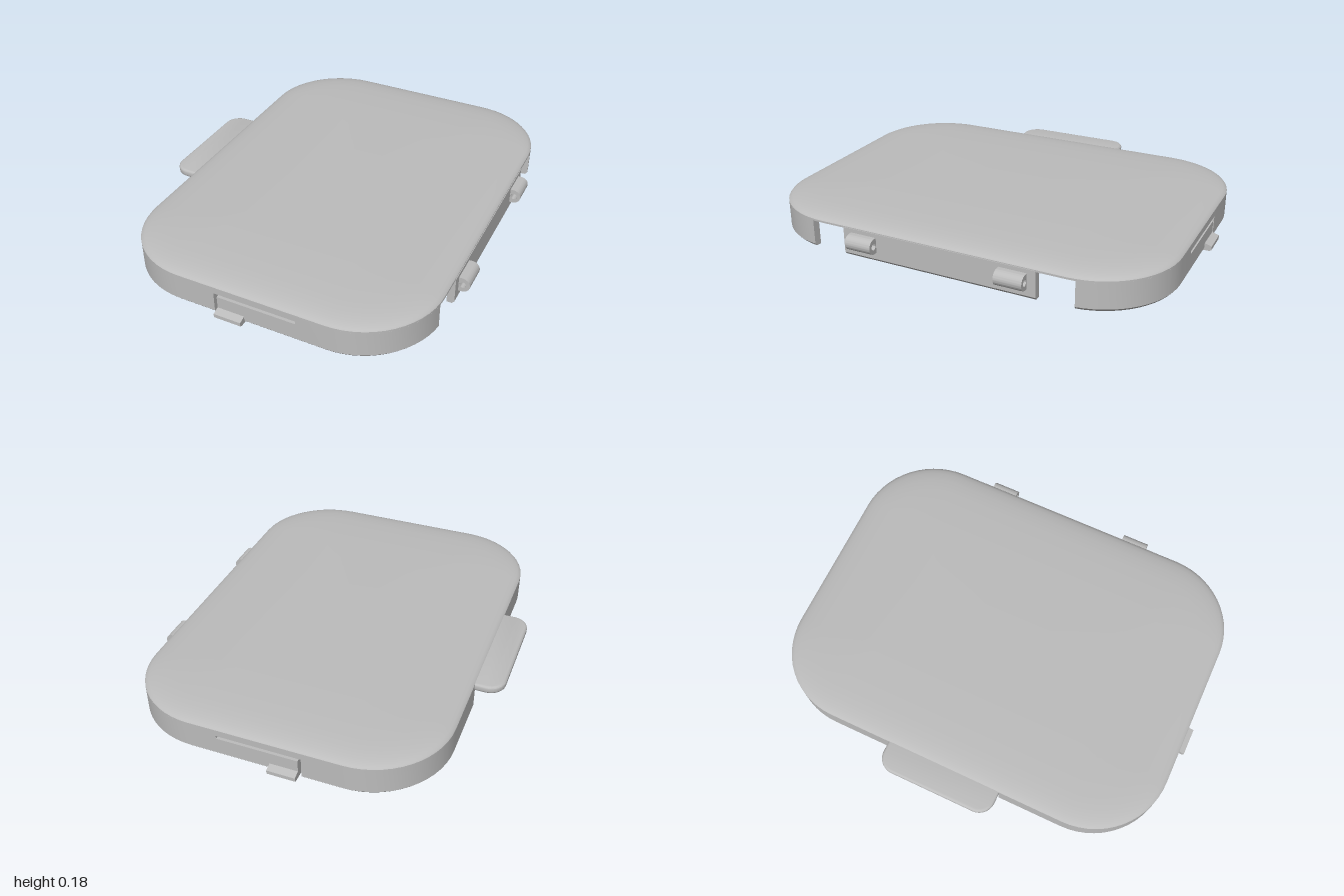
import * as THREE from 'three';
import { toCreasedNormals } from 'three/addons/utils/BufferGeometryUtils.js';

const CX = 0.036, HX = 0.72, HZ = 0.967, R = 0.37;   // body centre, half sizes, corner radius
const WALL = 0.035, RIM = 0.13;                      // wall thickness, wall top

function buildGeometry(verts, faces) {
  const g = new THREE.BufferGeometry();
  g.setAttribute('position', new THREE.Float32BufferAttribute(verts.flat(), 3));
  g.setIndex(faces.flat());
  return toCreasedNormals(g, 0.6);
}

// Points [x, z, nx, nz] round one front corner; side 1 = right edge, -1 = left edge
function cornerArc(side, a0, a1, steps = 14) {
  const pts = [];
  for (let i = 0; i <= steps; i++) {
    const a = a0 + (a1 - a0) * i / steps, c = Math.cos(a), s = Math.sin(a);
    pts.push([CX + side * (HX - R) + R * c, HZ - R + R * s, c, s]);
  }
  return pts;
}
const mirrorPath = (path) => path.map(([x, z, nx, nz]) => [x, -z, nx, -nz]).reverse();

// Sweep a wall section along a path; walls standing on the ground get a small chamfer
function wallGeometry(path, y0, y1) {
  const foot = y0 === 0 ? [[-0.01, 0], [0, 0.012]] : [[0, y0]];
  const section = [...foot, [0, y1], [-WALL, y1], [-WALL, y0]];
  const n = section.length, last = (path.length - 1) * n, verts = [], faces = [];
  for (const [x, z, nx, nz] of path)
    for (const [u, y] of section) verts.push([x + nx * u, y, z + nz * u]);
  for (let j = 0; j < path.length - 1; j++)
    for (let i = 0; i < n; i++) {
      const a = j * n + i, b = j * n + (i + 1) % n;
      faces.push([a, b, b + n], [a, b + n, a + n]);
    }
  for (let i = 1; i < n - 1; i++)
    faces.push([0, i + 1, i], [last, last + i, last + i + 1]);
  return buildGeometry(verts, faces);
}

// Domed lid: rounded rectangles stacked by [inset, height]
function lidGeometry() {
  const rings = [[0, RIM], [0, 0.139], [0.005, 0.145], [0.018, 0.151], [0.04, 0.157],
    [0.08, 0.164], [0.14, 0.169], [0.22, 0.173], [0.34, 0.177], [0.5, 0.179]];
  const verts = [], faces = [], steps = 14, n = 4 * (steps + 1);
  for (const [d, y] of rings) {
    const r = Math.max(R - d, 0.05);
    for (let q = 0; q < 4; q++)
      for (let i = 0; i <= steps; i++) {
        const a = (q + i / steps) * Math.PI / 2;
        const sx = q === 0 || q === 3 ? 1 : -1, sz = q < 2 ? 1 : -1;
        verts.push([CX + sx * (HX - d - r) + r * Math.cos(a), y, sz * (HZ - d - r) + r * Math.sin(a)]);
      }
  }
  for (let j = 0; j < rings.length - 1; j++)
    for (let i = 0; i < n; i++) {
      const a = j * n + i, b = j * n + (i + 1) % n;
      faces.push([a, a + n, b], [b, a + n, b + n]);
    }
  const bottom = verts.length, top = bottom + 1, o = (rings.length - 1) * n;
  verts.push([CX, RIM, 0], [CX, 0.18, 0]);
  for (let i = 0; i < n; i++) {
    const k = (i + 1) % n;
    faces.push([bottom, i, k], [top, o + k, o + i]);
  }
  return buildGeometry(verts, faces);
}

export function createModel() {
  const group = new THREE.Group();
  const grey = new THREE.MeshStandardMaterial({ color: 0xbcbcbc });
  grey.name = 'grey plastic';
  const add = (name, geometry) => {
    const m = new THREE.Mesh(geometry, grey);
    m.name = name;
    group.add(m);
    return m;
  };

  add('lid', lidGeometry());

  // Corner walls and slotted end walls, front and back
  const left = CX - HX, right = CX + HX;
  const front = (x) => [x, HZ, 0, 1];
  const pieces = [
    ['cornerWallRight', [...cornerArc(1, 0.117, Math.PI / 2), front(0.255)], 0, RIM],
    ['cornerWallLeft', [front(-0.135), ...cornerArc(-1, Math.PI / 2, Math.PI), [left, 0.28, -1, 0]], 0, RIM],
    ['latchFlap', [front(0.255), front(-0.12)], 0, 0.092],
    ['slotBridge', [front(0.255), front(-0.135)], 0.107, RIM],
  ];
  for (const [name, path, y0, y1] of pieces) {
    add(name + 'Front', wallGeometry(path, y0, y1));
    add(name + 'Back', wallGeometry(mirrorPath(path), y0, y1));
  }

  // Hinge-side wall between the two gaps, and the strip above the tab notch
  add('hingeWall', wallGeometry([[right + 0.003, -0.47, 1, 0], [right + 0.003, 0.47, 1, 0]], 0, RIM + 0.005));
  add('notchStrip', wallGeometry([[left, 0.28, -1, 0], [left, -0.28, -1, 0]], 0.105, RIM));

  // Latch clips
  const clip = new THREE.Shape([[0.95, 0], [0.99, 0], [1, 0.006], [1, 0.024], [0.965, 0.035], [0.95, 0.035]]
    .map(([x, y]) => new THREE.Vector2(x, y)));
  for (const s of [1, -1]) {
    const g = new THREE.ExtrudeGeometry(clip, { depth: 0.13, bevelEnabled: false });
    g.rotateY(-s * Math.PI / 2).translate(s > 0 ? 0.01 : -0.12, 0, 0);
    add(s > 0 ? 'clipFront' : 'clipBack', g);
  }

  // Hinge knuckles with pin holes
  const knuckle = new THREE.Shape();
  knuckle.moveTo(0.74, 0.045);
  knuckle.lineTo(0.774, 0.045);
  knuckle.absarc(0.774, 0.081, 0.036, -Math.PI / 2, Math.PI / 2, false);
  knuckle.lineTo(0.74, 0.117);
  knuckle.closePath();
  knuckle.holes.push(new THREE.Path().absarc(0.778, 0.081, 0.015, 0, Math.PI * 2, true));
  for (const z of [0.3, -0.43]) {
    const g = new THREE.ExtrudeGeometry(knuckle, { depth: 0.13, bevelEnabled: false, curveSegments: 16 });
    add('hingeKnuckle', toCreasedNormals(g.translate(0, 0, z), 0.6));
  }

  // Finger tab with rounded corners and bevelled rim
  const b = 0.012, x0 = -0.81 + b, x1 = -0.66, w = 0.287 - b, r = 0.065;
  const tab = new THREE.Shape();
  tab.moveTo(x1, -w);
  tab.lineTo(x1, w);
  tab.lineTo(x0 + r, w);
  tab.absarc(x0 + r, w - r, r, Math.PI / 2, Math.PI, false);
  tab.absarc(x0 + r, r - w, r, Math.PI, Math.PI * 1.5, false);
  tab.closePath();
  const tabGeo = new THREE.ExtrudeGeometry(tab,
    { depth: 0.014, bevelThickness: b, bevelSize: b, bevelSegments: 3, curveSegments: 10 });
  add('fingerTab', toCreasedNormals(tabGeo.rotateX(-Math.PI / 2).translate(0, 0.103 + b, -0.004), 0.6));

  return group;
}
